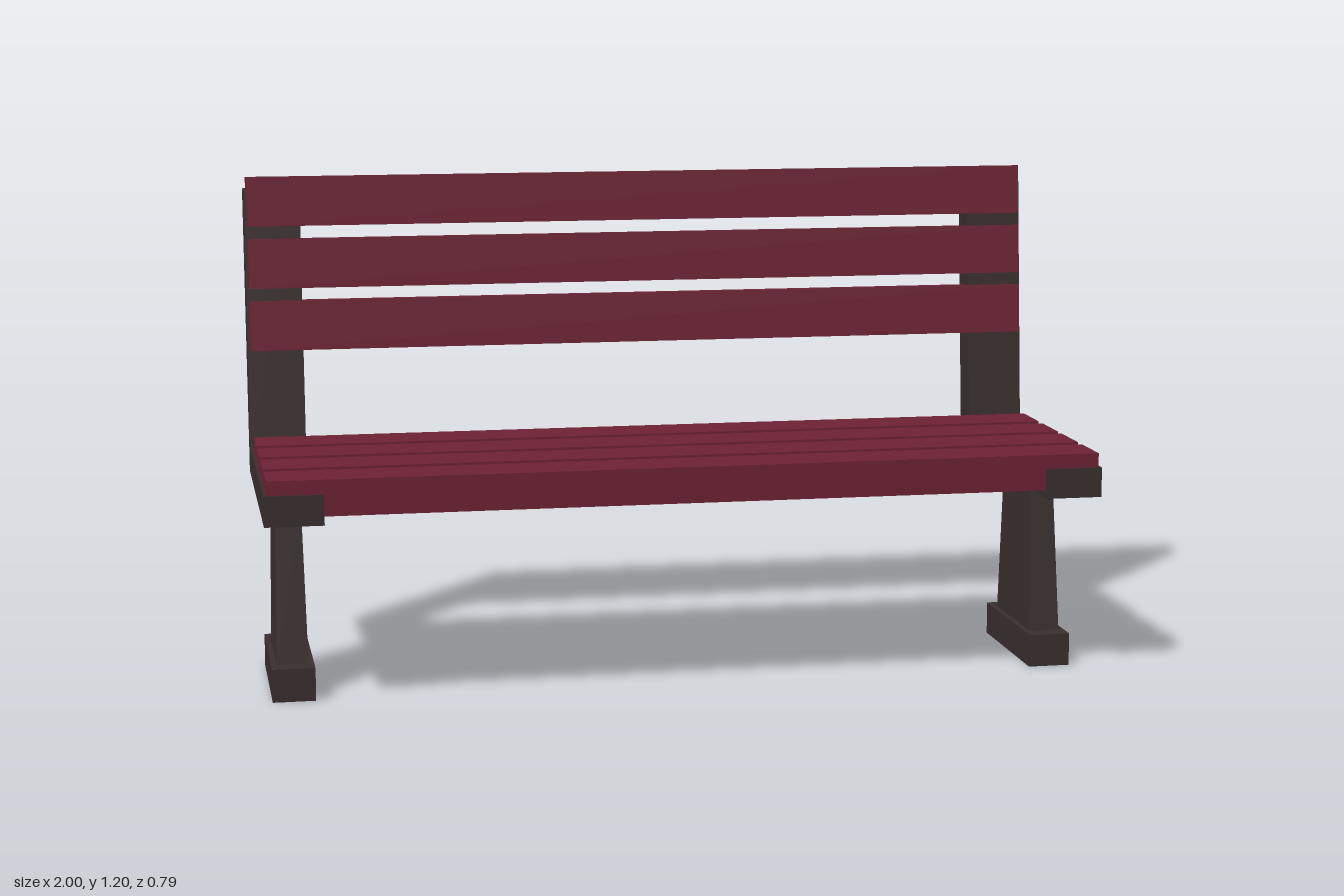
import * as THREE from 'three';

export function createModel() {
  const bench = new THREE.Group();
  bench.name = 'bench';

  const wood = new THREE.MeshStandardMaterial({ color: 0x6e2235 });
  wood.name = 'dark red wood';
  const iron = new THREE.MeshStandardMaterial({ color: 0x3a2f2f });
  iron.name = 'dark brown frame';

  const add = (parent, name, geometry, material, x = 0, y = 0, z = 0) => {
    const mesh = new THREE.Mesh(geometry, material);
    mesh.name = name;
    mesh.position.set(x, y, z);
    parent.add(mesh);
    return mesh;
  };

  // L-shaped side frame, outlined in (z, y) and extruded across x
  const outline = [
    [0.395, 0.455], [-0.326, 0.455], [-0.394, 1.162],
    [-0.314, 1.162], [-0.256, 0.527], [0.395, 0.527],
  ];
  const frameWidth = 0.138;
  const frameGeometry = new THREE.ExtrudeGeometry(
    new THREE.Shape(outline.map(([z, y]) => new THREE.Vector2(z, y))),
    { depth: frameWidth, bevelEnabled: false },
  );
  frameGeometry.translate(0, 0, -frameWidth / 2).rotateY(-Math.PI / 2);

  // Tapered leg: a box whose top and bottom edges are moved inwards
  const legGeometry = new THREE.BoxGeometry(1, 1, 1).toNonIndexed();
  const p = legGeometry.attributes.position;
  for (let i = 0; i < p.count; i++) {
    const top = p.getY(i) > 0;
    const front = p.getZ(i) > 0;
    const halfWidth = top ? 0.03 : 0.038;
    p.setXYZ(
      i,
      Math.sign(p.getX(i)) * halfWidth,
      top ? 0.46 : 0.07,
      front ? (top ? 0.14 : 0.191) : (top ? -0.07 : -0.081),
    );
  }
  legGeometry.computeVertexNormals();

  const footGeometry = new THREE.BoxGeometry(0.102, 0.08, 0.36);

  for (const side of [-1, 1]) {
    const support = new THREE.Group();
    support.name = side > 0 ? 'leftSupport' : 'rightSupport';
    support.position.x = side * 0.93;
    add(support, 'sideFrame', frameGeometry, iron);
    add(support, 'leg', legGeometry, iron);
    add(support, 'foot', footGeometry, iron, 0, 0.04, 0.055);
    bench.add(support);
  }

  // Seat slats, sunk into the frames
  const seatSlat = new THREE.BoxGeometry(1.984, 0.086, 0.124);
  for (let i = 0; i < 4; i++) {
    add(bench, 'seatSlat', seatSlat, wood, 0, 0.518, 0.327 - i * 0.156);
  }

  // Backrest slats, leaning back with the posts
  const lean = Math.atan2(0.055, 0.6);
  const backSlat = new THREE.BoxGeometry(1.984, 0.123, 0.09);
  for (let i = 0; i < 3; i++) {
    const slat = add(bench, 'backSlat', backSlat, wood,
      0, 0.826 + i * 0.1535, -0.307 - i * 0.0145);
    slat.rotation.x = -lean;
  }

  return bench;
}
